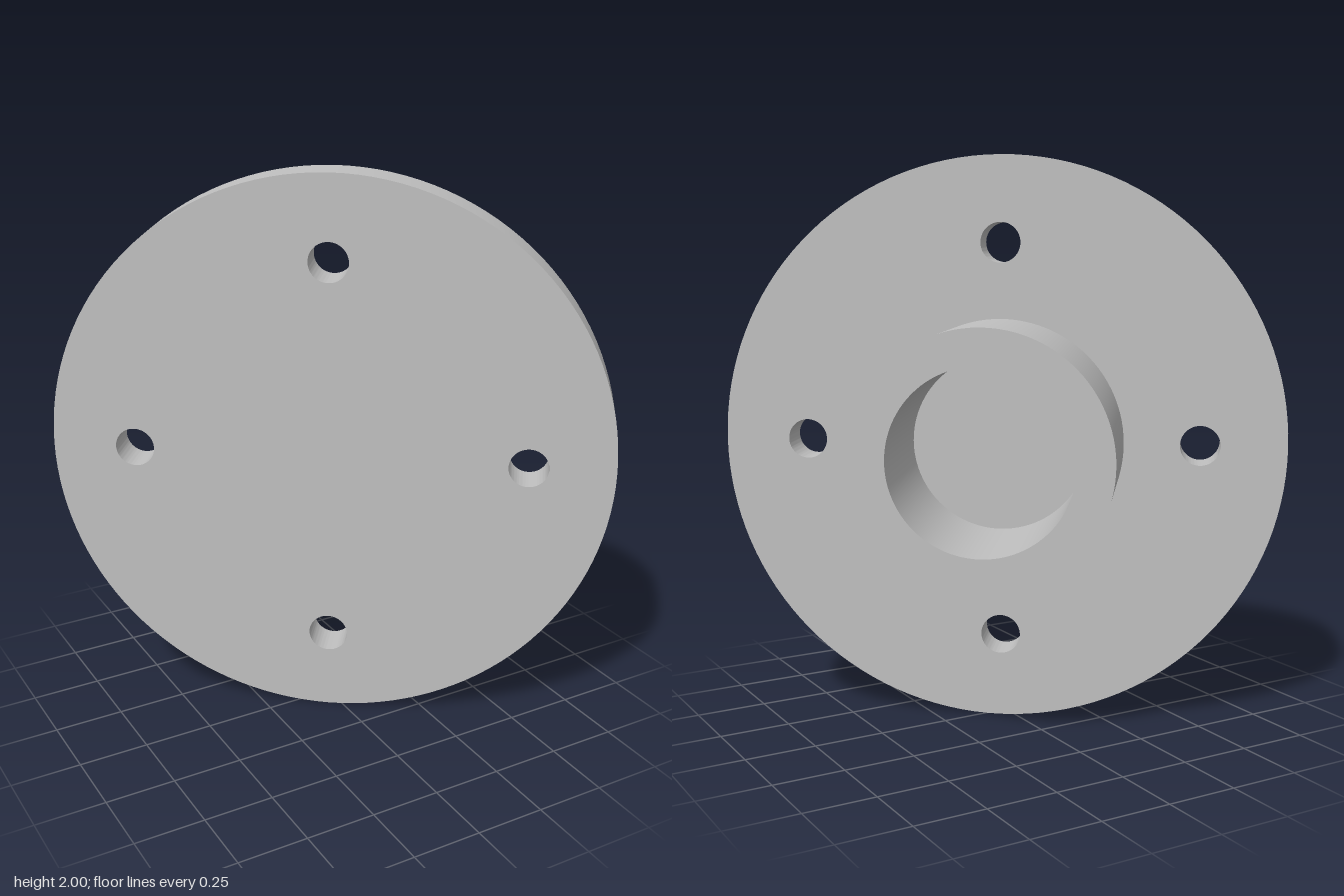
import * as THREE from 'three';
import { toCreasedNormals } from 'three/addons/utils/BufferGeometryUtils.js';

const FLANGE_R = 1, FLANGE_T = 0.139;
const HUB_R = 0.435, BORE_R = 0.3125, HUB_H = 0.485;
const BOLT_CIRCLE = 0.7, BOLT_R = 0.07, BOLTS = 4;

export function createModel() {
  const steel = new THREE.MeshStandardMaterial({ color: 0xc0c0c0 });
  steel.name = 'light grey steel';

  // Round flange plate with through bolt holes
  const disc = new THREE.Shape().absarc(0, 0, FLANGE_R, 0, Math.PI * 2);
  for (let i = 0; i < BOLTS; i++) {
    const a = (i / BOLTS) * Math.PI * 2;
    disc.holes.push(new THREE.Path().absarc(
      BOLT_CIRCLE * Math.cos(a), BOLT_CIRCLE * Math.sin(a), BOLT_R, 0, Math.PI * 2, true));
  }
  const flangeGeo = new THREE.ExtrudeGeometry(disc, {
    depth: FLANGE_T, bevelEnabled: false, curveSegments: 64,
  });
  const flange = new THREE.Mesh(toCreasedNormals(flangeGeo, 0.6), steel);
  flange.name = 'flange';

  // Hub: outer wall, rim and blind bore ending on the flange face
  const profile = [[HUB_R, 0], [HUB_R, HUB_H], [BORE_R, HUB_H], [BORE_R, 0]]
    .map(([r, y]) => new THREE.Vector2(r, y));
  const hubGeo = new THREE.LatheGeometry(profile, 96).rotateX(Math.PI / 2);
  const hub = new THREE.Mesh(toCreasedNormals(hubGeo, 0.6), steel);
  hub.name = 'hub';
  hub.position.z = FLANGE_T;

  // Stand the part on edge, with the hub turned to the back
  const body = new THREE.Group();
  body.name = 'flangedHub';
  body.add(flange, hub);
  body.rotation.y = Math.atan2(0.611, -0.7915);
  body.position.set(-0.0425, 1, 0.074);

  const model = new THREE.Group();
  model.name = 'blindFlange';
  model.add(body);
  return model;
}
